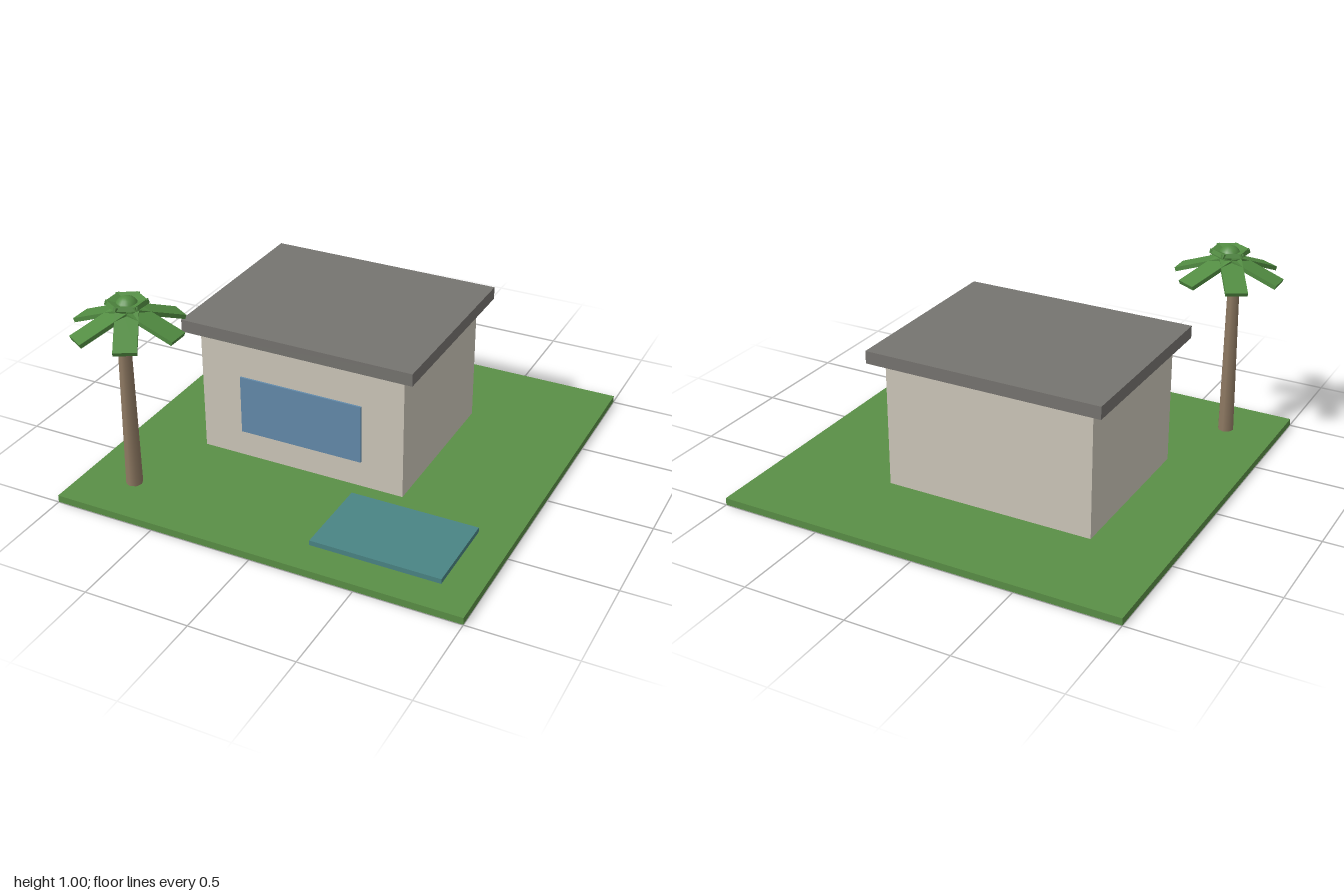
import * as THREE from 'three';

const mat = (name, color) => {
  const m = new THREE.MeshStandardMaterial({ color });
  m.name = name;
  return m;
};

export function createModel() {
  const grass = mat('grass green', 0x5a8f46);
  const wall = mat('warm plaster', 0xcdc7ba);
  const roofGrey = mat('roof grey', 0x767470);
  const glass = mat('window blue', 0x648bab);
  const water = mat('pool teal', 0x4a8584);
  const bark = mat('bark brown', 0x8f7a63);
  const leaf = mat('palm green', 0x528c42);

  const model = new THREE.Group();
  model.name = 'houseWithGarden';

  // Box given by its lower and upper limits on each axis
  const box = (name, material, [x0, x1], [y0, y1], [z0, z1]) => {
    const mesh = new THREE.Mesh(new THREE.BoxGeometry(x1 - x0, y1 - y0, z1 - z0), material);
    mesh.position.set((x0 + x1) / 2, (y0 + y1) / 2, (z0 + z1) / 2);
    mesh.name = name;
    model.add(mesh);
  };

  // Ground, house and pool
  box('lawn', grass, [-1, 1], [0.001, 0.035], [-1, 1]);
  box('walls', wall, [-0.623, 0.415], [0.035, 0.66], [-0.521, 0.315]);
  box('roof', roofGrey, [-0.688, 0.478], [0.66, 0.721], [-0.583, 0.375]);
  box('window', glass, [-0.416, 0.207], [0.168, 0.46], [0.317, 0.326]);
  box('pool', water, [0.207, 0.83], [0.035, 0.059], [0.416, 0.832]);

  // Palm trunk, tapering and leaning very slightly
  const palm = new THREE.Group();
  palm.name = 'palmTree';
  const trunk = new THREE.Mesh(new THREE.CylinderGeometry(0.028, 0.04, 0.93, 8), bark);
  trunk.name = 'trunk';
  trunk.position.set(-0.746, 0.465, 0.75);
  trunk.rotation.z = -0.008;
  palm.add(trunk);

  // Crown: a round heart and six drooping fronds that cross at the middle
  const crown = new THREE.Group();
  crown.name = 'crown';
  crown.position.set(-0.714, 0.912, 0.748);
  const heart = new THREE.Mesh(new THREE.SphereGeometry(0.055, 16, 10), leaf);
  heart.name = 'crownHeart';
  heart.position.y = 0.033;
  crown.add(heart);

  const frondShape = new THREE.BoxGeometry(0.356, 0.02, 0.104);
  frondShape.rotateZ(-0.36);
  frondShape.translate(0.087, 0, 0);
  for (let i = 0; i < 6; i++) {
    const frond = new THREE.Mesh(frondShape, leaf);
    frond.name = 'frond' + (i + 1);
    frond.rotation.y = (i * Math.PI) / 3;
    crown.add(frond);
  }
  palm.add(crown);
  model.add(palm);

  return model;
}
